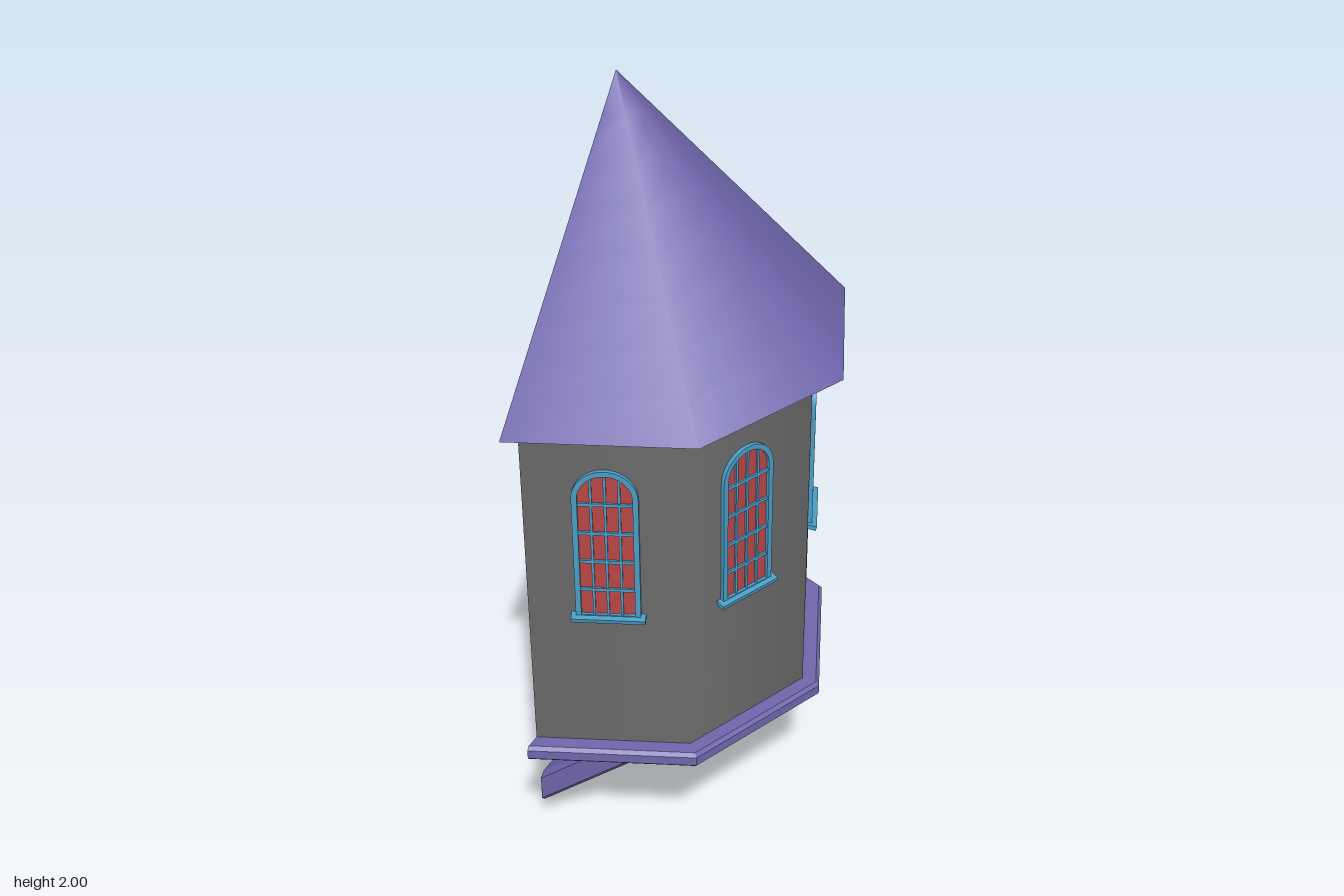
import * as THREE from 'three';

const CX = -0.225; // axis of the half octagon, which is open towards -x
const mat = (color) => new THREE.MeshStandardMaterial({ color, side: THREE.DoubleSide });
const purple = mat(0x6f66ac);
const stone = mat(0x6b6b6b);
const blue = mat(0x4a9cc4);
const red = mat(0xb84444);
const purpleFlat = mat(0x6f66ac);
purpleFlat.flatShading = true;

function add(parent, name, geometry, material, x = 0, y = 0, z = 0) {
  const mesh = new THREE.Mesh(geometry, material);
  mesh.name = name;
  mesh.position.set(x, y, z);
  parent.add(mesh);
  return mesh;
}

// Round-headed outline with its foot at y = 0
function archOutline(target, halfWidth, foot, spring) {
  target.moveTo(-halfWidth, foot);
  target.lineTo(halfWidth, foot);
  target.lineTo(halfWidth, spring);
  target.absarc(0, spring, halfWidth, 0, Math.PI, false);
  target.lineTo(-halfWidth, foot);
  return target;
}

function createWindow() {
  const win = new THREE.Group();
  win.name = 'window';
  const half = 0.075, spring = 0.33, inner = 0.062;

  const frame = archOutline(new THREE.Shape(), half, 0, spring);
  frame.holes.push(archOutline(new THREE.Path(), inner, 0.01, spring));
  add(win, 'windowFrame', new THREE.ExtrudeGeometry(frame, {
    depth: 0.011, bevelEnabled: false, curveSegments: 14,
  }), blue, 0, 0, -0.001);

  const pane = archOutline(new THREE.Shape(), inner + 0.003, 0.005, spring);
  add(win, 'windowGlass', new THREE.ShapeGeometry(pane, 14), red, 0, 0, 0.002);

  // Glazing bars, the uprights reaching up to the arch
  for (const x of [-0.032, 0, 0.032]) {
    const h = spring + Math.sqrt(inner * inner - x * x);
    add(win, 'uprightBar', new THREE.BoxGeometry(0.006, h, 0.005), blue, x, h / 2, 0.004);
  }
  for (const y of [0.08, 0.158, 0.236, 0.314]) {
    add(win, 'crossBar', new THREE.BoxGeometry(inner * 2, 0.008, 0.006), blue, 0, y, 0.004);
  }

  const sill = add(win, 'windowSill', new THREE.BoxGeometry(0.172, 0.012, 0.026), blue, 0, 0.002, 0.008);
  sill.rotation.x = 0.25;
  return win;
}

// Sloping brace with a chamfered section and upright end cuts
function braceGeometry(length, slope) {
  const w = 0.034, h = 0.048, c = 0.014;
  const section = new THREE.Shape([
    [-w + c, -h], [w - c, -h], [w, -h + c], [w, h - c],
    [w - c, h], [-w + c, h], [-w, h - c], [-w, -h + c],
  ].map(([a, b]) => new THREE.Vector2(a, b)));
  const geo = new THREE.ExtrudeGeometry(section, { depth: length, bevelEnabled: false });
  geo.rotateY(Math.PI / 2);
  const p = geo.attributes.position;
  for (let i = 0; i < p.count; i++) p.setY(i, p.getY(i) + slope * p.getX(i));
  geo.computeVertexNormals();
  return geo;
}

export function createModel() {
  const model = new THREE.Group();
  model.name = 'halfTurret';

  // Half octagonal roof and wall, both hollow shells
  add(model, 'roof', new THREE.CylinderGeometry(0, 0.56, 0.635, 4, 8, true, 0, Math.PI), purple, CX, 1.6825, 0);
  add(model, 'wall', new THREE.CylinderGeometry(0.485, 0.485, 0.895, 4, 1, true, 0, Math.PI), stone, CX, 0.9175, 0);

  // Floor slab with softened edges, closed at the back
  const rim = [[0, 0.435], [0.523, 0.435], [0.53, 0.442], [0.53, 0.466], [0.521, 0.475], [0, 0.475]]
    .map(([r, y]) => new THREE.Vector2(r, y));
  add(model, 'floor', new THREE.LatheGeometry(rim, 4, 0, Math.PI).toNonIndexed(), purpleFlat, CX, 0, 0);
  const back = new THREE.PlaneGeometry(1.05, 0.04).rotateY(-Math.PI / 2);
  add(model, 'floorBack', back, purple, CX, 0.455, 0);

  // One window on each wall face
  const apothem = 0.485 * Math.cos(Math.PI / 8);
  [0, -0.015, 0.015, 0].forEach((shift, i) => {
    const a = Math.PI / 8 + i * Math.PI / 4;
    const win = createWindow();
    win.position.set(
      CX + apothem * Math.sin(a) + shift * Math.cos(a),
      0.852,
      apothem * Math.cos(a) - shift * Math.sin(a),
    );
    win.rotation.y = a;
    model.add(win);
  });

  // Braces under the floor, their heads just breaking through it
  const slope = 0.89;
  for (const [x, y, z] of [[-0.337, 0.153, -0.32], [-0.332, 0.048, 0], [-0.312, 0.153, 0.307]]) {
    add(model, 'brace', braceGeometry((0.465 - y) / slope, slope), purpleFlat, x, y, z);
  }
  return model;
}
